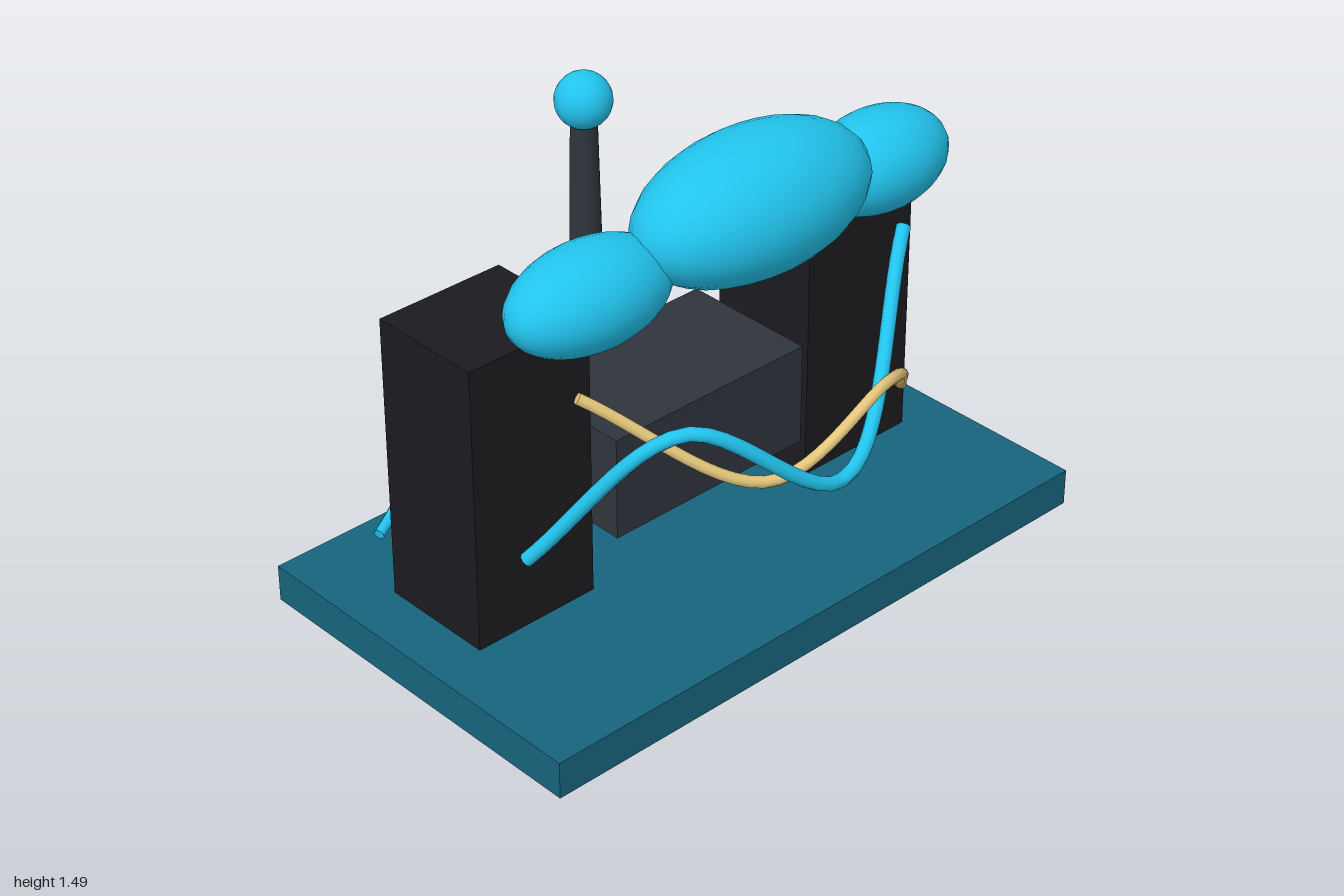
import * as THREE from 'three';

const paint = (color) => new THREE.MeshStandardMaterial({ color });

export function createModel() {
  const model = new THREE.Group();
  const teal = paint(0x17647d), blue = paint(0x22c4ee), black = paint(0x1b1b20);
  const slate = paint(0x2f353d), gold = paint(0xe6c87c), cream = paint(0xd9d0bd);

  const add = (name, geometry, material, x = 0, y = 0, z = 0) => {
    const mesh = new THREE.Mesh(geometry, material);
    mesh.name = name;
    mesh.position.set(x, y, z);
    model.add(mesh);
    return mesh;
  };
  const box = (name, material, size, pos) => add(name, new THREE.BoxGeometry(...size), material, ...pos);

  // Floor slab, two towers and the console between them
  box('base', teal, [2, 0.117, 1.21], [0, 0.0585, -0.01]);
  for (const side of [-1, 1]) {
    box(side > 0 ? 'leftTower' : 'rightTower', black, [0.417, 0.898, 0.37], [side * 0.628, 0.566, -0.105]);
  }
  box('console', slate, [0.72, 0.325, 0.442], [0, 0.443, -0.104]);

  // Row of buttons on the back of the console
  for (let i = -2; i <= 2; i++) {
    box('button', i % 2 ? cream : blue, [0.06, 0.042, 0.034], [i * 0.152, 0.513, -0.343]);
  }

  // Tapered mast with a ball on top
  add('mast', new THREE.CylinderGeometry(0.039, 0.055, 0.8, 20), slate, 0, 0.88, -0.405);
  add('mastBall', new THREE.SphereGeometry(0.084, 24, 16), blue, 0, 1.33, -0.405);

  // Cloud made of three stretched spheres
  const puff = (name, pos, scale) =>
    add(name, new THREE.SphereGeometry(1, 24, 16), blue, ...pos).scale.set(...scale);
  puff('cloudCentre', [0, 1.283, 0.27], [0.4, 0.203, 0.22]);
  puff('cloudRight', [-0.54, 1.19, 0.22], [0.265, 0.147, 0.157]);
  puff('cloudLeft', [0.535, 1.19, 0.22], [0.242, 0.147, 0.155]);

  // Floating ribbons: smooth curves swept as tubes, with capped ends
  const ribbon = (name, material, radius, points) => {
    const pts = points.map((p) => new THREE.Vector3(...p));
    const curve = new THREE.CatmullRomCurve3(pts);
    add(name, new THREE.TubeGeometry(curve, 40, radius, 10), material);
    for (const t of [0, 1]) {
      const end = curve.getPointAt(t);
      const outward = curve.getTangentAt(t).multiplyScalar(t ? 1 : -1);
      const cap = add(name + 'End', new THREE.CircleGeometry(radius, 10), material, end.x, end.y, end.z);
      cap.quaternion.setFromUnitVectors(new THREE.Vector3(0, 0, 1), outward);
    }
  };
  ribbon('frontBlueRibbon', blue, 0.021,
    [[-0.72, 0.4, 0.15], [-0.45, 0.84, 0.48], [0, 0.57, 0.635], [0.55, 1.01, 0.315]]);
  ribbon('frontGoldRibbon', gold, 0.017,
    [[-0.605, 0.91, 0.24], [-0.2, 0.612, 0.55], [0.25, 0.73, 0.55], [0.72, 0.35, 0.175]]);
  ribbon('backBlueRibbon', blue, 0.016,
    [[-0.79, 0.23, -0.41], [-0.27, 0.35, -0.63], [0.25, 0.255, -0.585], [0.785, 0.45, -0.41]]);

  return model;
}
